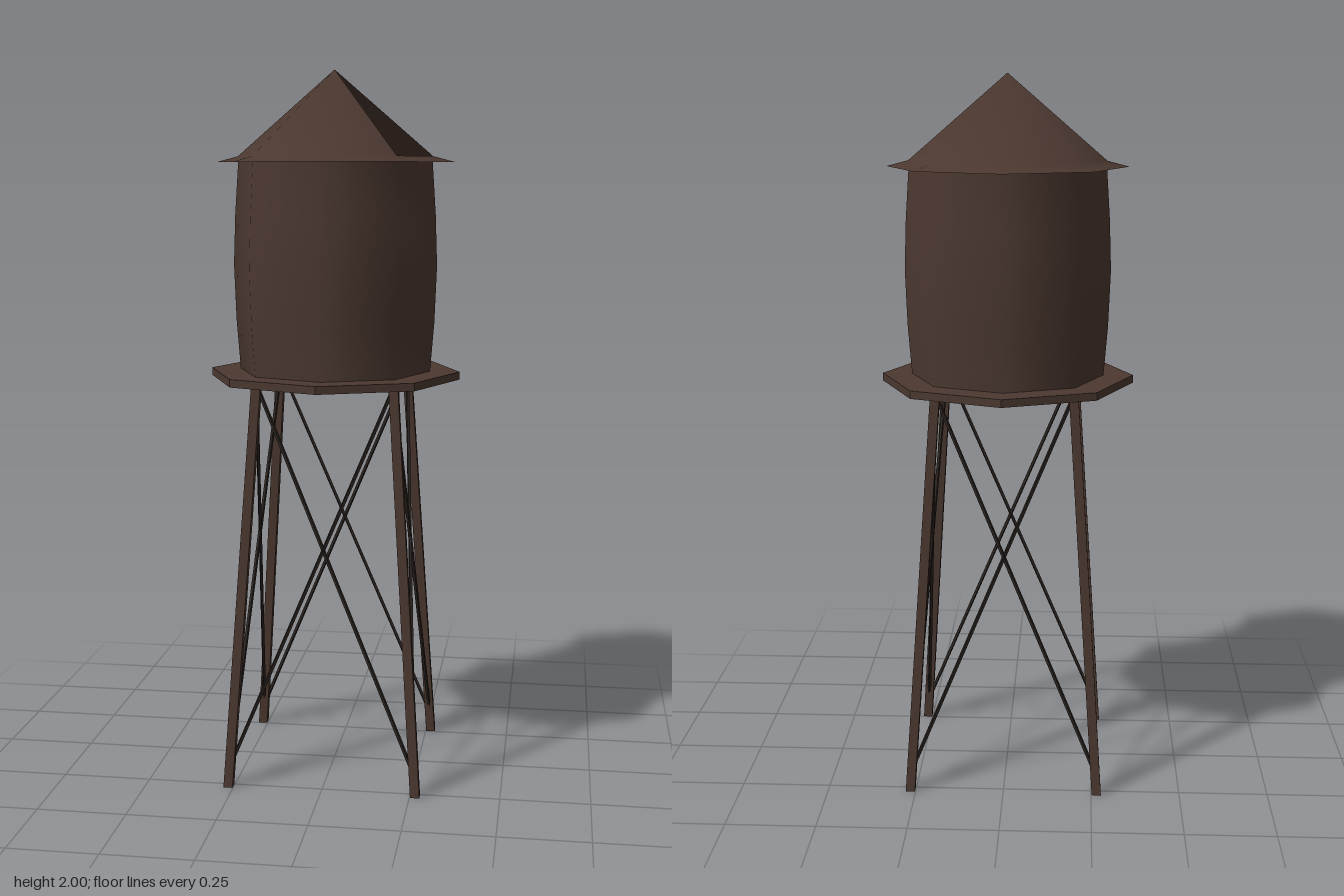
import * as THREE from 'three';
import { toCreasedNormals } from 'three/addons/utils/BufferGeometryUtils.js';

const SIDES = 8;
const LEG_TOP = 0.19, LEG_FOOT = 0.265, DECK_Y = 1.142;

const brown = new THREE.MeshStandardMaterial({ color: 0x4b3830, side: THREE.DoubleSide });
brown.name = 'weathered brown';
const iron = new THREE.MeshStandardMaterial({ color: 0x2a2320 });
iron.name = 'dark iron';

// Eight-sided turned shape, smooth all round except for a seam on +x
function turned(profile) {
  const geo = new THREE.LatheGeometry(profile.map(([r, y]) => new THREE.Vector2(r, y)), SIDES);
  geo.rotateY(Math.PI / 2);
  geo.computeVertexNormals();
  return geo;
}

function add(parent, name, geo, mat) {
  const mesh = new THREE.Mesh(geo, mat);
  mesh.name = name;
  parent.add(mesh);
  return mesh;
}

// Distance of a leg's centre line from the axis planes at height y
const legAt = (y) => THREE.MathUtils.lerp(LEG_FOOT, LEG_TOP, y / DECK_Y);

// Square post sheared so that it leans towards the tower's axis
function legGeometry(sx, sz) {
  const geo = new THREE.BoxGeometry(0.026, DECK_Y, 0.026).translate(0, DECK_Y / 2, 0);
  const p = geo.attributes.position;
  for (let i = 0; i < p.count; i++) {
    const d = legAt(p.getY(i));
    p.setX(i, p.getX(i) + sx * d);
    p.setZ(i, p.getZ(i) + sz * d);
  }
  geo.computeVertexNormals();
  return geo;
}

export function createModel() {
  const tower = new THREE.Group();
  tower.name = 'waterTower';

  // Four splayed legs
  for (const sx of [-1, 1]) for (const sz of [-1, 1]) add(tower, 'leg', legGeometry(sx, sz), brown);

  // Crossed braces, laid out on the front and then turned to each side
  const low = 0.06, high = 1.14;
  for (let side = 0; side < 4; side++) {
    const braces = new THREE.Group();
    braces.name = 'crossBraces';
    for (const s of [-1, 1]) {
      const a = new THREE.Vector3(s * legAt(low), low, legAt(low));
      const b = new THREE.Vector3(-s * legAt(high), high, legAt(high));
      const rod = add(braces, 'brace', new THREE.BoxGeometry(0.008, 0.008, a.distanceTo(b)), iron);
      rod.position.copy(a).add(b).multiplyScalar(0.5);
      rod.quaternion.setFromUnitVectors(new THREE.Vector3(0, 0, 1), b.sub(a).normalize());
    }
    braces.rotation.y = side * Math.PI / 2;
    tower.add(braces);
  }

  // Octagonal platform with a thin square plate below it
  const deck = new THREE.CylinderGeometry(0.357, 0.357, 0.022, SIDES);
  add(tower, 'platform', toCreasedNormals(deck, 0.5), brown).position.y = 1.151;
  add(tower, 'supportPlate', new THREE.BoxGeometry(0.38, 0.008, 0.38), brown).position.y = 1.138;

  // Bulging tank, closed on top
  add(tower, 'tank', turned([
    [0.273, 1.16], [0.284, 1.3], [0.29, 1.46], [0.285, 1.6], [0.274, 1.763],
  ]), brown);
  const lid = new THREE.CircleGeometry(0.276, SIDES).rotateX(-Math.PI / 2);
  add(tower, 'tankLid', lid, brown).position.y = 1.763;

  // Pointed roof with a flared brim, smooth at the peak; the last cone panel is left open
  const profile = [[0.337, 1.747], [0.276, 1.763], [0, 2]];
  const roof = turned(profile);
  for (let i = 2; i < roof.attributes.normal.count; i += profile.length) {
    roof.attributes.normal.setXYZ(i, 0, 1, 0);
  }
  roof.setIndex(Array.from(roof.index.array).slice(0, -6));
  add(tower, 'roof', roof, brown);

  return tower;
}
